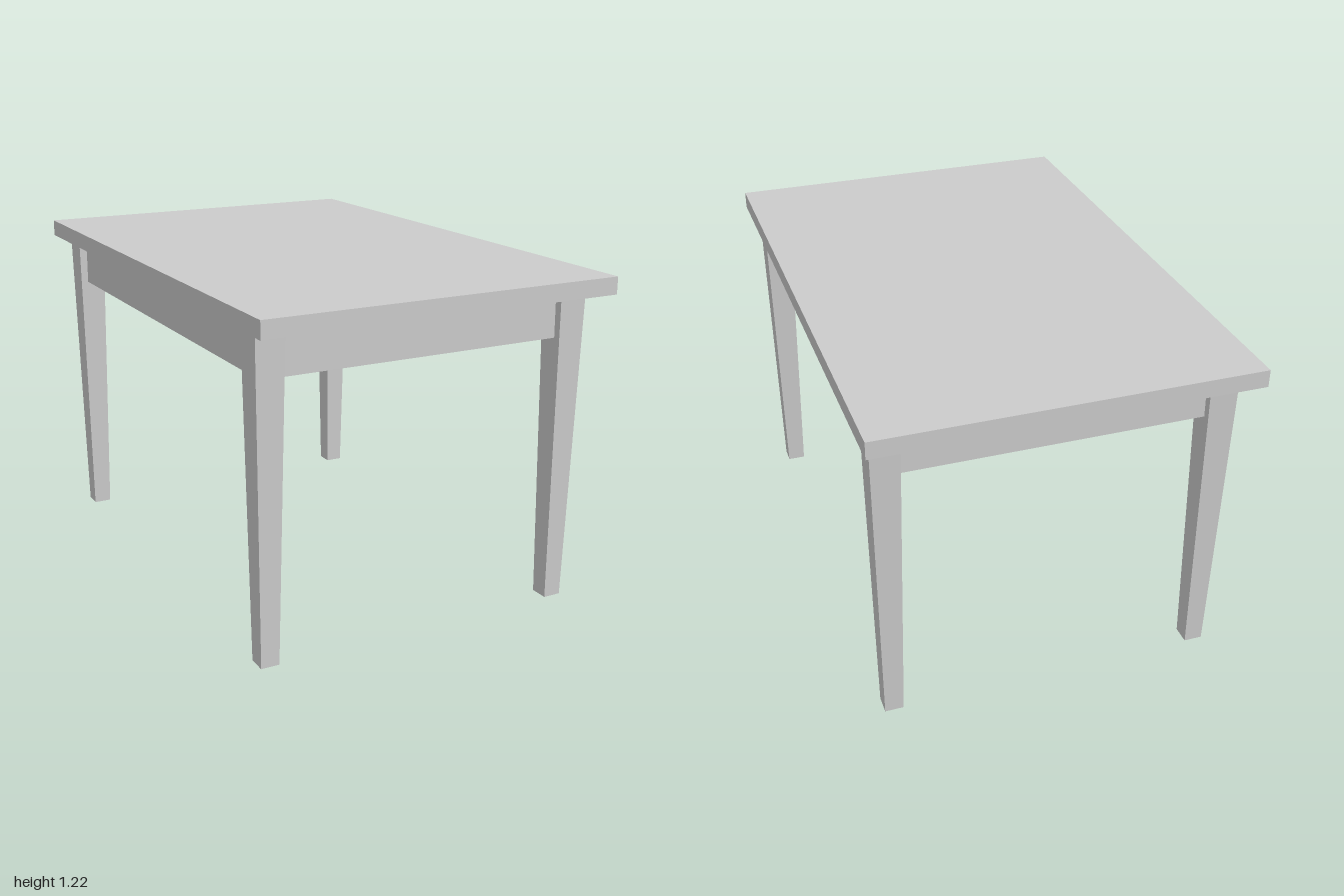
import * as THREE from 'three';

const TOP = 1.215, UNDER = 1.153, APRON_BOTTOM = 0.985;
const LEG_X = 0.579, LEG_Z = 0.833;        // leg centres
const LEG_TOP = 0.104, LEG_FOOT = 0.067;   // square leg widths
const APRON_T = 0.042, INSET = 0.03;       // apron thickness, setback from leg faces

export function createModel() {
  const table = new THREE.Group();
  table.name = 'table';
  const material = new THREE.MeshStandardMaterial({ color: 0xcccccc, flatShading: true });

  function add(parent, name, geometry, x, y, z) {
    const mesh = new THREE.Mesh(geometry, material);
    mesh.name = name;
    mesh.position.set(x, y, z);
    parent.add(mesh);
  }

  // Flat slab top
  add(table, 'tabletop', new THREE.BoxGeometry(1.334, TOP - UNDER, 2), 0, (TOP + UNDER) / 2, 0);

  // Legs and aprons sit very slightly off the centre of the top
  const base = new THREE.Group();
  base.name = 'base';
  base.position.set(0.002, 0, -0.004);
  table.add(base);

  // Square leg, tapered evenly on all four sides towards the foot
  const legGeometry = new THREE.BoxGeometry(LEG_TOP, UNDER, LEG_TOP);
  const p = legGeometry.attributes.position;
  for (let i = 0; i < p.count; i++) {
    if (p.getY(i) < 0) {
      p.setX(i, p.getX(i) * LEG_FOOT / LEG_TOP);
      p.setZ(i, p.getZ(i) * LEG_FOOT / LEG_TOP);
    }
  }
  legGeometry.computeVertexNormals();

  // Apron boards run between the legs, with ends tucked just inside them
  const height = UNDER - APRON_BOTTOM, midY = (UNDER + APRON_BOTTOM) / 2;
  const setback = LEG_TOP / 2 - INSET - APRON_T / 2;
  const lengthX = 2 * LEG_X - LEG_TOP + 0.03;
  const lengthZ = 2 * LEG_Z - LEG_TOP + 0.03;

  for (const s of [1, -1]) {
    const end = s > 0 ? 'front' : 'back';
    const side = s > 0 ? 'left' : 'right';
    add(base, end + 'Apron', new THREE.BoxGeometry(lengthX, height, APRON_T), 0, midY, s * (LEG_Z + setback));
    add(base, side + 'Apron', new THREE.BoxGeometry(APRON_T, height, lengthZ), s * (LEG_X + setback), midY, 0);
    for (const t of [1, -1]) {
      add(base, end + (t > 0 ? 'Left' : 'Right') + 'Leg', legGeometry, t * LEG_X, UNDER / 2, s * LEG_Z);
    }
  }
  return table;
}
